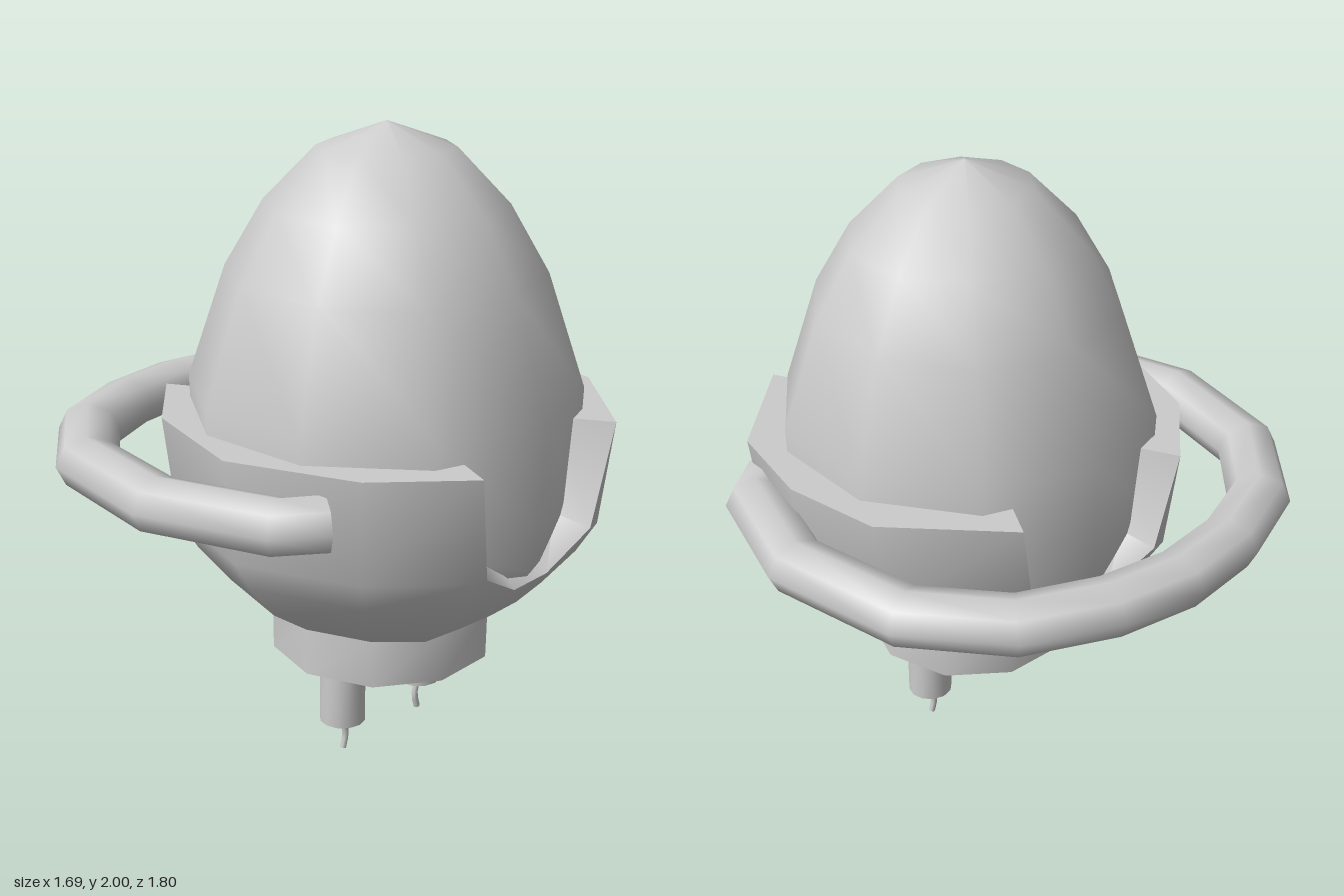
import * as THREE from 'three';
import { toCreasedNormals } from 'three/addons/utils/BufferGeometryUtils.js';

const CX = 0.195; // axis of the egg, cup and base

// Curve through given stations, so a tube gets its rings exactly there
class StationCurve extends THREE.Curve {
  constructor(points) { super(); this.points = points; }
  getPoint(t, target = new THREE.Vector3()) {
    const n = this.points.length - 1, i = Math.min(Math.floor(t * n + 1e-6), n - 1);
    return target.lerpVectors(this.points[i], this.points[i + 1], t * n - i);
  }
  getPointAt(t, target) { return this.getPoint(t, target); }
  getTangentAt(t, target = new THREE.Vector3()) {
    const n = this.points.length - 1, i = Math.round(t * n);
    return target.subVectors(this.points[Math.min(i + 1, n)], this.points[Math.max(i - 1, 0)]).normalize();
  }
}

// Cup: columns around the axis, each cut at its own height to leave two side slots
function cupGeometry() {
  const rows = [[0.34, 0.47], [0.37, 0.49], [0.5, 0.58], [0.6, 0.7], [0.66, 0.8], [0.7, 1.13]];
  // [angle from the x axis, top height, radius factor]
  const quarter = (corner, factor) => [
    [8, 0.7, 0.97], [23, 0.8, 1], [27, 1.13, 1.02], [corner, 1.13, factor]];
  const half = (q) => [...q, [90, 1.13, 0.995], ...q.map(([a, h, f]) => [180 - a, h, f]).reverse()];
  const columns = [
    ...half(quarter(54.5, 0.985)),
    ...half(quarter(63, 1.02)).map(([a, h, f]) => [a + 180, h, f])];

  const pos = [], index = [];
  const stride = rows.length + 2;
  columns.forEach(([deg, top, factor]) => {
    const a = THREE.MathUtils.degToRad(deg);
    const put = (r, y) => pos.push(r * Math.cos(a), y, r * Math.sin(a));
    const last = rows.find((row) => row[1] === top);
    rows.forEach((row) => {
      const [r, y] = row[1] > top ? last : row;
      put(r * factor, y);
    });
    put(0.545, top < 1 ? top + 0.035 : top); // inner lip against the egg
    put(0.4, 0.75);
  });
  columns.forEach((c, i) => {
    const a = i * stride, b = ((i + 1) % columns.length) * stride;
    for (let j = 0; j < stride - 1; j++) {
      index.push(a + j, a + j + 1, b + j, a + j + 1, b + j + 1, b + j);
    }
  });
  const g = new THREE.BufferGeometry();
  g.setAttribute('position', new THREE.Float32BufferAttribute(pos, 3));
  g.setIndex(index);
  return toCreasedNormals(g, 0.85);
}

export function createModel() {
  const model = new THREE.Group();
  const grey = new THREE.MeshStandardMaterial({ color: 0xcccccc });
  const grey2 = new THREE.MeshStandardMaterial({ color: 0xcccccc, side: THREE.DoubleSide });
  const add = (name, geometry, x, y, z, material = grey) => {
    const m = new THREE.Mesh(geometry, material);
    m.name = name;
    m.position.set(x, y, z);
    model.add(m);
    return m;
  };

  // Ten-sided egg with smooth normals
  const profile = [[0, 0.45], [0.3, 0.48], [0.48, 0.6], [0.575, 0.73], [0.6, 0.87], [0.61, 1.2],
    [0.49, 1.555], [0.37, 1.76], [0.21, 1.925], [0, 2]].map(([r, y]) => new THREE.Vector2(r, y));
  add('egg', new THREE.LatheGeometry(profile, 10, Math.PI / 2), CX, 0, 0);

  // Slotted cup and the round base under it
  add('cup', cupGeometry(), CX, 0, 0, grey2);
  add('base', toCreasedNormals(new THREE.CylinderGeometry(0.355, 0.355, 0.16, 10), 0.7), CX, 0.41, 0);

  // Handle ring around the right side, ends sunk into the cup
  const side = [[0.48, 0.58], [0.4, 0.69], [0.03, 0.8], [-0.375, 0.715], [-0.615, 0.505], [-0.725, 0.245]];
  const path = [...side.map(([x, z]) => [x, -z]), [-0.76, 0], ...side.slice().reverse()]
    .map(([x, z]) => new THREE.Vector3(x, 0, z));
  const ring = new THREE.TubeGeometry(new StationCurve(path), path.length - 1, 0.1, 8, false);
  ring.scale(1, 0.85, 1);
  add('handle', ring, 0, 0.985, 0, grey2);

  // Two pegs, each with a thin bent wire
  for (const s of [1, -1]) {
    add('peg', toCreasedNormals(new THREE.CylinderGeometry(0.074, 0.074, 0.23, 12), 0.7), CX, 0.225, s * 0.19);
    const bend = [[0.12, 0.19], [0.1, 0.187], [0.055, 0.175], [0.03, 0.178], [0, 0.187]]
      .map(([y, z]) => new THREE.Vector3(0, y, s * z));
    add('wire', new THREE.TubeGeometry(new StationCurve(bend), bend.length - 1, 0.011, 6, false), CX, 0, 0, grey2);
  }
  return model;
}
